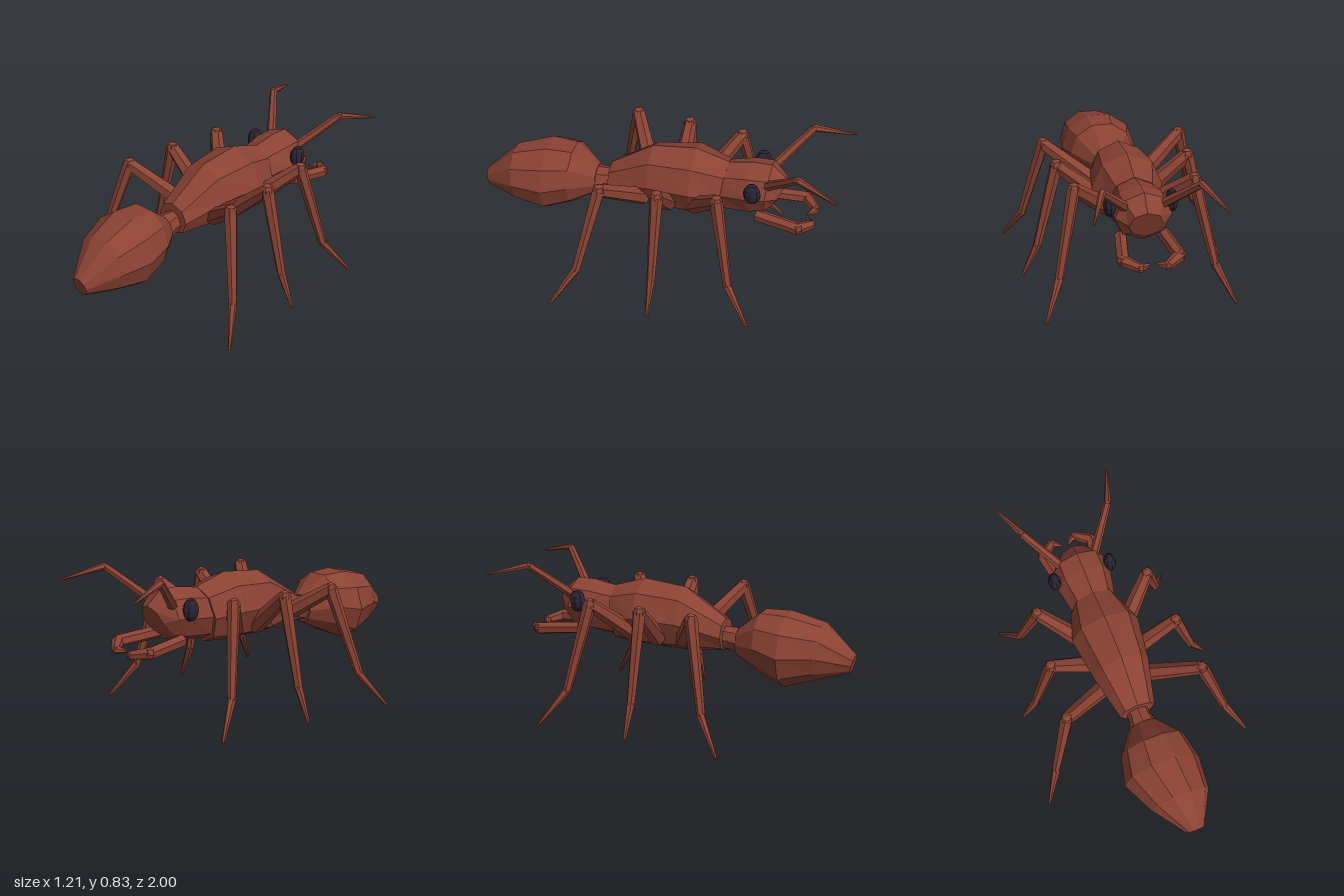
import * as THREE from 'three';

const shell = new THREE.MeshStandardMaterial({ color: 0x8a4233, flatShading: true });
shell.name = 'russet shell';
const eyeDark = new THREE.MeshStandardMaterial({ color: 0x2a2431, flatShading: true });
eyeDark.name = 'dark eye';

// Closed faceted body lofted along z through elliptical rings: [z, cx, cy, rx, ry, tilt]
function loft(name, rings, sides) {
  const pts = rings.map(([z, cx, cy, rx, ry, tilt = 0]) =>
    Array.from({ length: sides }, (_, j) => {
      const a = (j / sides) * Math.PI * 2;
      return [cx + rx * Math.cos(a), cy + ry * Math.sin(a), z + tilt * Math.sin(a)];
    }));
  const pos = [];
  const tri = (...corners) => corners.forEach(c => pos.push(...c));
  const last = rings.length - 1;
  const centre = r => [r[1], r[2], r[0]];
  for (let j = 0; j < sides; j++) {
    const k = (j + 1) % sides;
    for (let i = 0; i < last; i++) {
      tri(pts[i][j], pts[i][k], pts[i + 1][k]);
      tri(pts[i][j], pts[i + 1][k], pts[i + 1][j]);
    }
    tri(centre(rings[0]), pts[0][k], pts[0][j]);
    tri(centre(rings[last]), pts[last][j], pts[last][k]);
  }
  const geo = new THREE.BufferGeometry();
  geo.setAttribute('position', new THREE.Float32BufferAttribute(pos, 3));
  geo.computeVertexNormals();
  const mesh = new THREE.Mesh(geo, shell);
  mesh.name = name;
  return mesh;
}

// Jointed limb: tapered segments with a knuckle at each bend; points are [x, y, z, radius]
function limb(name, points, side) {
  const group = new THREE.Group();
  group.name = name;
  const p = points.map(([x, y, z]) => new THREE.Vector3(x * side, y, z));
  const up = new THREE.Vector3(0, 1, 0);
  for (let i = 0; i < p.length - 1; i++) {
    const dir = p[i + 1].clone().sub(p[i]);
    const segment = new THREE.Mesh(
      new THREE.CylinderGeometry(points[i + 1][3], points[i][3], dir.length(), 6), shell);
    segment.name = 'segment';
    segment.position.copy(p[i]).addScaledVector(dir, 0.5);
    segment.quaternion.setFromUnitVectors(up, dir.normalize());
    group.add(segment);
    if (i > 0) {
      const knuckle = new THREE.Mesh(new THREE.SphereGeometry(points[i][3], 6, 4), shell);
      knuckle.name = 'knuckle';
      knuckle.position.copy(p[i]);
      group.add(knuckle);
    }
  }
  return group;
}

export function createModel() {
  const ant = new THREE.Group();
  ant.name = 'ant';

  // Body sections, head end at -z
  ant.add(
    loft('head', [
      [-0.655, 0, 0.555, 0.09, 0.08, -0.035],
      [-0.595, 0, 0.575, 0.15, 0.135, -0.01],
      [-0.5, 0, 0.565, 0.155, 0.145],
      [-0.33, 0, 0.54, 0.12, 0.14],
    ], 8),
    loft('thorax', [
      [-0.35, 0, 0.535, 0.14, 0.155, -0.02],
      [-0.19, 0, 0.557, 0.192, 0.188],
      [0.05, 0, 0.543, 0.158, 0.177],
      [0.285, 0, 0.48, 0.1, 0.09],
    ], 8),
    loft('waist', [
      [0.25, 0, 0.46, 0.06, 0.065],
      [0.31, 0, 0.46, 0.062, 0.065],
      [0.4, 0, 0.45, 0.085, 0.075],
    ], 8),
    loft('abdomen', [
      [0.365, 0, 0.45, 0.085, 0.08],
      [0.495, 0.003, 0.47, 0.182, 0.17],
      [0.64, 0, 0.44, 0.215, 0.205],
      [0.815, 0.03, 0.438, 0.165, 0.155, 0.015],
      [0.987, 0.05, 0.383, 0.05, 0.05, 0.013],
    ], 10),
  );

  // Limbs and eyes, mirrored left and right
  const legs = {
    frontLeg: [[0.11, 0.45, -0.2, 0.05], [0.32, 0.655, -0.375, 0.036],
      [0.42, 0.19, -0.47, 0.023], [0.51, 0.008, -0.598, 0.008]],
    middleLeg: [[0.12, 0.45, -0.065, 0.05], [0.36, 0.655, -0.065, 0.036],
      [0.475, 0.19, -0.065, 0.023], [0.56, 0.008, -0.065, 0.008]],
    rearLeg: [[0.1, 0.45, 0.08, 0.05], [0.385, 0.655, 0.24, 0.036],
      [0.505, 0.19, 0.345, 0.023], [0.6, 0.008, 0.467, 0.008]],
  };
  const antenna = [[0.09, 0.63, -0.59, 0.027], [0.25, 0.815, -0.78, 0.02], [0.33, 0.76, -0.998, 0.005]];
  const mandible = [[0.11, 0.45, -0.55, 0.034], [0.145, 0.43, -0.78, 0.034],
    [0.07, 0.415, -0.845, 0.024], [0.015, 0.41, -0.81, 0.006]];

  for (const [label, side] of [['left', 1], ['right', -1]]) {
    for (const [legName, path] of Object.entries(legs)) ant.add(limb(`${label} ${legName}`, path, side));
    ant.add(limb(`${label} antenna`, antenna, side));
    ant.add(limb(`${label} mandible`, mandible, side));

    const eye = new THREE.Mesh(new THREE.SphereGeometry(1, 8, 6), eyeDark);
    eye.name = `${label} eye`;
    eye.scale.set(0.035, 0.062, 0.047);
    eye.position.set(0.162 * side, 0.62, -0.53);
    ant.add(eye);
  }
  return ant;
}
